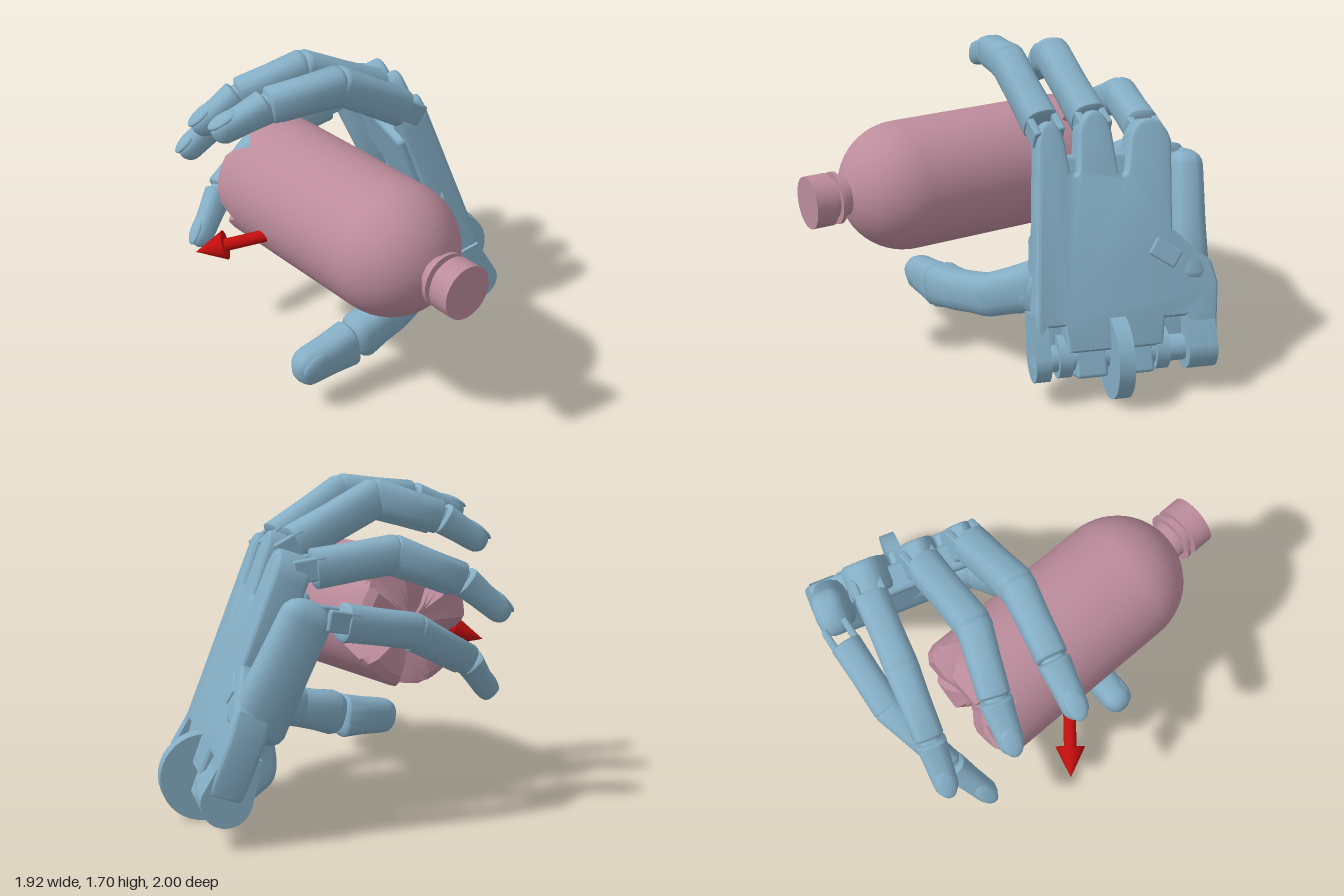
import * as THREE from 'three';
import { toCreasedNormals } from 'three/addons/utils/BufferGeometryUtils.js';
import { RoundedBoxGeometry } from 'three/addons/geometries/RoundedBoxGeometry.js';

const V = (x, y, z) => new THREE.Vector3(x, y, z);
const mat = (color) => new THREE.MeshStandardMaterial({ color });
const handMat = mat(0x84adc4), bottleMat = mat(0xbc8c9c), arrowMat = mat(0xc00d0d);

function add(parent, name, geometry, material, x = 0, y = 0, z = 0) {
  const mesh = new THREE.Mesh(geometry, material);
  mesh.name = name;
  mesh.position.set(x, y, z);
  parent.add(mesh);
  return mesh;
}

// Rotation whose y axis is dir and whose x axis is close to side
function aim(object, dir, side) {
  const y = dir.clone().normalize();
  const x = side.clone().addScaledVector(y, -side.dot(y)).normalize();
  object.quaternion.setFromRotationMatrix(new THREE.Matrix4().makeBasis(x, y, x.clone().cross(y)));
}

// Tapered bone with rounded ends and a slightly boxy section
function bone(parent, name, a, b, rA, rB, side, capA, capB, depth = 1.12) {
  const dir = b.clone().sub(a), L = dir.length(), pts = [];
  for (let i = 0; i <= 4; i++) {
    const t = i / 4 * Math.PI / 2;
    pts.push(new THREE.Vector2(rA * Math.sin(t) + 1e-4, -capA * Math.cos(t)));
  }
  pts.push(new THREE.Vector2((rA + rB) / 2 * 0.97, L / 2));
  for (let i = 0; i <= 5; i++) {
    const t = i / 5 * Math.PI / 2;
    pts.push(new THREE.Vector2(rB * Math.cos(t) + 1e-4, L + capB * Math.sin(t)));
  }
  const geo = new THREE.LatheGeometry(pts, 20), p = geo.attributes.position;
  for (let i = 0; i < p.count; i++) {
    const x = p.getX(i), z = p.getZ(i), r = Math.hypot(x, z);
    const k = r / Math.cbrt(Math.abs(x) ** 3 + Math.abs(z) ** 3);
    p.setX(i, x * k);
    p.setZ(i, z * k * depth);
  }
  geo.computeVertexNormals();
  const mesh = add(parent, name, toCreasedNormals(geo, 0.7), handMat, a.x, a.y, a.z);
  aim(mesh, dir, side);
  return mesh;
}

// Finger through knuckle, middle joint, end joint and tip
function finger(parent, name, [k, m, e, t], r, side) {
  const g = new THREE.Group();
  g.name = name;
  parent.add(g);
  const toward = (a, b, d) => a.clone().addScaledVector(b.clone().sub(a).normalize(), d);
  const lower = bone(g, 'lowerBone', toward(k, m, 0.09), m, r, r * 0.98, side, 0.015, r * 0.6);
  bone(g, 'middleBone', m, toward(e, m, 0.02), r * 0.98, r * 0.88, side, r * 0.6, 0.02);
  bone(g, 'jointCore', toward(e, m, 0.06), toward(e, t, 0.06), r * 0.68, r * 0.68, side, 0.01, 0.01);
  const tip = bone(g, 'fingertip', toward(e, t, 0.01), toward(t, e, 0.07), r * 0.9, r * 0.72, side, 0.02, 0.07, 1);
  const L = e.distanceTo(t);
  const nail = add(tip, 'nail', new THREE.SphereGeometry(1, 14, 10), handMat, 0, L - 0.09, r * 0.58);
  nail.scale.set(r * 0.6, 0.085, r * 0.24);
  nail.rotation.x = -0.1;
  // soft pad on the inner side of the middle bone
  const pad = bone(g, 'fingerPad', m, e, r * 0.7, r * 0.6, side, 0.01, 0);
  pad.position.add(V(0, 0, -r * 0.5).applyQuaternion(pad.quaternion));
  pad.scale.set(1, 0.85, 0.9);
  // fork that clasps the knuckle
  for (const s of [-1, 1]) add(lower, 'knuckleProng', new RoundedBoxGeometry(r * 0.42, 0.17, r * 1.3, 2, 0.012), handMat, s * r * 0.72, -0.03, r * 0.1);
}

function buildPalm(hand) {
  const X = V(0.31, 0, -0.95).normalize(), Y = V(-0.32, 0.94, -0.105);
  const palm = new THREE.Group();
  palm.name = 'palm';
  palm.position.set(0.605, 0.75, -0.25);
  aim(palm, Y, X);
  hand.add(palm);

  // back plate with three knuckle lobes and wrist slots
  const s = new THREE.Shape();
  s.moveTo(-0.42, -0.56);
  s.lineTo(-0.33, 0.56);
  s.bezierCurveTo(-0.32, 0.74, -0.21, 0.74, -0.18, 0.58);
  s.lineTo(-0.165, 0.43);
  s.quadraticCurveTo(-0.14, 0.4, -0.125, 0.43);
  s.lineTo(-0.11, 0.62);
  s.bezierCurveTo(-0.08, 0.78, 0.04, 0.78, 0.07, 0.62);
  s.lineTo(0.09, 0.42);
  s.quadraticCurveTo(0.115, 0.38, 0.135, 0.42);
  s.lineTo(0.16, 0.58);
  s.bezierCurveTo(0.2, 0.73, 0.35, 0.71, 0.385, 0.56);
  for (const [a, b] of [[0.36, 0.1], [0.56, -0.08], [0.59, -0.2], [0.56, -0.5], [0.5, -0.56], [0.41, -0.56],
    [0.4, -0.36], [0.29, -0.36], [0.27, -0.5], [-0.24, -0.5], [-0.25, -0.36], [-0.34, -0.36], [-0.35, -0.56]]) s.lineTo(a, b);
  s.closePath();
  const plate = new THREE.ExtrudeGeometry(s, { depth: 0.12, bevelSize: 0.025, bevelOffset: -0.025, bevelThickness: 0.03, bevelSegments: 3, curveSegments: 10 });
  add(palm, 'backPlate', toCreasedNormals(plate, 0.45), handMat, 0, 0, -0.15);
  const cover = add(palm, 'sideCover', new RoundedBoxGeometry(0.16, 0.1, 0.06, 2, 0.012), handMat, 0.31, -0.02, -0.02);
  cover.rotation.z = -0.6;

  // shapes drawn in length and depth, extruded across the width
  const across = (name, shape, width, a, options) => {
    const geo = new THREE.ExtrudeGeometry(shape, { depth: width, bevelEnabled: false, curveSegments: 16, ...options });
    geo.applyMatrix4(new THREE.Matrix4().makeBasis(V(0, 1, 0), V(0, 0, 1), V(1, 0, 0)));
    add(palm, name, toCreasedNormals(geo, 0.6), handMat, a, 0, 0);
  };

  // inner pads under the knuckles and at the heel
  add(palm, 'knucklePad', new RoundedBoxGeometry(0.68, 0.38, 0.15, 3, 0.03), handMat, 0.02, 0.33, -0.145);
  const h = new THREE.Shape();
  h.moveTo(0.12, -0.1);
  h.quadraticCurveTo(-0.1, -0.2, -0.26, -0.28);
  h.quadraticCurveTo(-0.36, -0.33, -0.42, -0.29);
  h.lineTo(-0.56, -0.2);
  h.lineTo(-0.56, -0.14);
  h.lineTo(-0.36, -0.1);
  across('heelPad', h, 0.76, -0.34, { bevelEnabled: true, bevelSize: 0.03, bevelThickness: 0.05, bevelOffset: -0.02, bevelSegments: 3 });

  // wrist lobes with round lower ends, continuing the plate
  const lobe = new THREE.Shape();
  lobe.moveTo(-0.28, -0.02);
  lobe.lineTo(-0.28, -0.2);
  lobe.lineTo(-0.5, -0.225);
  lobe.absarc(-0.52, -0.1, 0.125, -Math.PI / 2, Math.PI / 2, true);
  for (const [a, w] of [[-0.415, 0.08], [0.4, 0.1], [0.5, 0.055]]) across('wristLobe', lobe, w, a);

  // wrist hinge: axle, blocks and central disc
  const disc = (name, r, w, a, b, c) => {
    const geo = new THREE.CylinderGeometry(r, r, w, 36).rotateZ(Math.PI / 2);
    add(palm, name, toCreasedNormals(geo, 0.6), handMat, a, b, c);
  };
  disc('wristAxle', 0.07, 0.85, 0.06, -0.53, -0.11);
  disc('wristDisc', 0.225, 0.085, 0.03, -0.54, -0.085);
  for (const a of [-0.25, 0.27]) disc('wristRing', 0.115, 0.07, a, -0.52, -0.12);
  for (const a of [-0.11, 0.14]) add(palm, 'wristBlock', new RoundedBoxGeometry(0.17, 0.2, 0.14, 2, 0.02), handMat, a, -0.54, -0.11);
  return X;
}

function buildHand(root) {
  const hand = new THREE.Group();
  hand.name = 'hand';
  root.add(hand);
  const side = buildPalm(hand);

  finger(hand, 'indexFinger', [V(0.26, 1.31, -0.09), V(-0.2, 1.585, -0.125), V(-0.58, 1.55, -0.23), V(-0.865, 1.45, -0.3)], 0.091, side);
  finger(hand, 'middleFinger', [V(0.32, 1.32, -0.34), V(-0.21, 1.58, -0.41), V(-0.53, 1.475, -0.55), V(-0.765, 1.32, -0.625)], 0.091, side);
  finger(hand, 'ringFinger', [V(0.39, 1.27, -0.62), V(-0.08, 1.34, -0.77), V(-0.42, 1.2, -0.88), V(-0.65, 1.0, -0.955)], 0.088, side);
  finger(hand, 'littleFinger', [V(0.37, 1.07, -0.86), V(-0.1, 0.98, -0.91), V(-0.5, 0.78, -0.83), V(-0.73, 0.55, -0.74)], 0.082, side);

  // outer palm bone carrying the little finger
  bone(hand, 'outerPalmBone', V(0.67, 0.57, -0.71), V(0.46, 1.08, -0.82), 0.105, 0.09, side, 0.08, 0.09, 1.4);

  // thumb: base muscle, lower bones, end joint and tip with nail
  const thumb = new THREE.Group();
  thumb.name = 'thumb';
  hand.add(thumb);
  const up = V(0, 1, 0);
  bone(thumb, 'thumbMuscle', V(0.44, 0.46, -0.02), V(0.6, 0.38, -0.42), 0.14, 0.13, up, 0.08, 0.1, 0.9);
  const path = [V(0.5, 0.42, -0.1), V(0.35, 0.53, 0.03), V(0.12, 0.42, 0.17), V(-0.14, 0.355, 0.22), V(-0.35, 0.3, 0.21)];
  const radii = [0.14, 0.135, 0.115, 0.11, 0.125];
  for (let i = 0; i < 4; i++) bone(thumb, 'thumbBone', path[i], path[i + 1], radii[i], radii[i + 1], up, radii[i] * 0.7, radii[i + 1] * 0.7, 0.85);
  const tip = bone(thumb, 'thumbTip', V(-0.43, 0.27, 0.2), V(-0.69, 0.24, 0.19), 0.122, 0.1, up, 0.03, 0.09, 0.8);
  const nail = add(tip, 'nail', new THREE.SphereGeometry(1, 16, 10), handMat, 0.01, 0.23, 0.06);
  nail.scale.set(0.075, 0.1, 0.03);
}

function buildBottle(root) {
  const bottle = new THREE.Group();
  bottle.name = 'bottle';
  bottle.position.set(-0.345, 0.95, 0);
  bottle.rotation.x = Math.PI / 2;
  root.add(bottle);

  // body with a domed shoulder
  const R = 0.35, pts = [[0.001, -0.56], [0.1, -0.57], [0.2, -0.6], [0.29, -0.6], [0.335, -0.57], [R, -0.53], [R, -0.46], [R, -0.4], [R, 0.45]];
  for (let i = 1; i <= 12; i++) {
    const t = i / 12 * Math.acos(0.1 / R);
    pts.push([R * Math.cos(t), 0.45 + R * Math.sin(t)]);
  }
  pts.push([0.105, 0.8], [0.105, 0.9]);
  const geo = new THREE.LatheGeometry(pts.map((q) => new THREE.Vector2(...q)), 60), p = geo.attributes.position;
  // five V grooves cut into the base, deeper toward the rim
  for (let i = 0; i < p.count; i++) {
    if (p.getY(i) > -0.35) continue;
    const x = p.getX(i), z = p.getZ(i), step = Math.PI * 2 / 5;
    const q = ((Math.atan2(x, z) + 10.5 * step) % step) / step;
    const groove = Math.max(0, 1 - Math.abs(q - 0.5) / 0.25);
    p.setY(i, Math.max(p.getY(i), -0.6 + 0.17 * groove * Math.hypot(x, z) / R));
  }
  geo.computeVertexNormals();
  add(bottle, 'bottleBody', toCreasedNormals(geo, 0.45), bottleMat);
  const ring = (name, r, h, y) => add(bottle, name, toCreasedNormals(new THREE.CylinderGeometry(r, r, h, 40), 0.6), bottleMat, 0, y, 0);
  ring('neckRing', 0.14, 0.02, 0.845);
  ring('cap', 0.14, 0.115, 0.9425);
}

function buildArrow(root) {
  const arrow = new THREE.Group(), start = V(-0.345, 0.97, 0.1), tip = V(-0.95, 0.765, -0.4);
  arrow.name = 'arrow';
  arrow.position.copy(start);
  const dir = tip.sub(start), L = dir.length();
  aim(arrow, dir, V(0, 0, 1));
  add(arrow, 'arrowShaft', new THREE.CylinderGeometry(0.033, 0.033, L - 0.15, 20), arrowMat, 0, (L - 0.15) / 2, 0);
  add(arrow, 'arrowHead', new THREE.ConeGeometry(0.078, 0.16, 24), arrowMat, 0, L - 0.08, 0);
  root.add(arrow);
}

export function createModel() {
  const root = new THREE.Group();
  root.name = 'handWithBottle';
  buildHand(root);
  buildBottle(root);
  buildArrow(root);
  return root;
}
